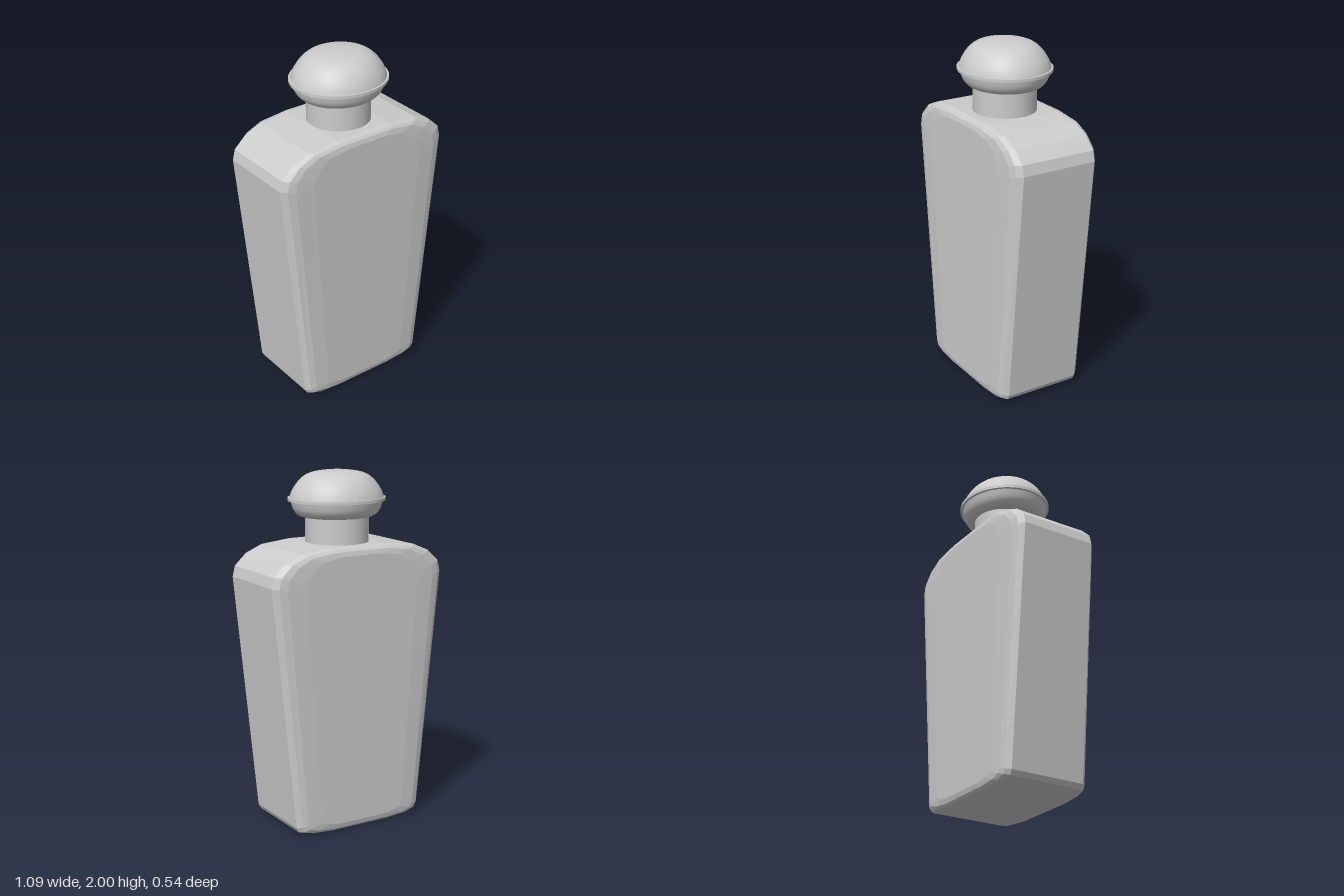
import * as THREE from 'three';

const grey = new THREE.MeshStandardMaterial({ color: 0xcccccc });
grey.name = 'grey';

// Tapered flask body: one outline, drawn in towards the front and back faces
function bodyGeometry() {
  const half = [
    [0.2, 0], [0.33, 0.01], [0.39, 0.028], [0.405, 0.055],
    [0.545, 1.42], [0.53, 1.48], [0.46, 1.545], [0.36, 1.587], [0.18, 1.605],
  ];
  const outline = [...half, ...half.map(([x, y]) => [-x, y]).reverse()];
  // z, width scale, height scale
  const front = [[0.268, 0.66, 0.945], [0.261, 0.86, 0.976], [0.249, 0.94, 0.992], [0.222, 1, 1]];
  const steps = [...front, ...front.map(([z, w, h]) => [-z, w, h]).reverse()];
  const mid = 0.8025;
  const rings = steps.map(([z, w, h]) => outline.map(([x, y]) => [x * w, mid + (y - mid) * h, z]));
  const n = outline.length;
  const pos = [];
  const tri = (a, b, c) => pos.push(...a, ...b, ...c);
  for (let i = 0; i < rings.length - 1; i++) {
    for (let j = 0; j < n; j++) {
      const k = (j + 1) % n;
      const a = rings[i][j], b = rings[i][k], c = rings[i + 1][j], d = rings[i + 1][k];
      tri(a, c, d);
      tri(a, d, b);
    }
  }
  // flat front and back faces
  const first = rings[0], last = rings[rings.length - 1];
  for (let j = 1; j < n - 1; j++) {
    tri(first[0], first[j], first[j + 1]);
    tri(last[0], last[j + 1], last[j]);
  }
  const geo = new THREE.BufferGeometry();
  geo.setAttribute('position', new THREE.Float32BufferAttribute(pos, 3));
  geo.computeVertexNormals(); // unshared corners give flat facets
  return geo;
}

function lathe(points) {
  return new THREE.LatheGeometry(points.map(([r, y]) => new THREE.Vector2(r, y)), 48);
}

function curve(points) {
  const spline = new THREE.SplineCurve(points.map(([r, y]) => new THREE.Vector2(r, y)));
  return spline.getPoints(16).map((p) => [Math.max(p.x, 0), p.y]);
}

function addPart(parent, name, geometry) {
  const mesh = new THREE.Mesh(geometry, grey);
  mesh.name = name;
  parent.add(mesh);
  return mesh;
}

export function createModel() {
  const bottle = new THREE.Group();
  bottle.name = 'bottle';
  addPart(bottle, 'body', bodyGeometry());

  const neck = addPart(bottle, 'neck', new THREE.CylinderGeometry(0.177, 0.177, 0.2, 48));
  neck.position.set(0.003, 1.67, 0);

  // Rounded stopper, slightly wider than deep
  const stopper = new THREE.Group();
  stopper.name = 'stopper';
  stopper.position.x = 0.005;
  stopper.scale.z = 0.93;
  addPart(stopper, 'stopperUnderside', lathe([[0, 1.742], ...curve([[0.17, 1.742], [0.215, 1.752], [0.246, 1.785], [0.262, 1.835]])]));
  addPart(stopper, 'stopperRimBottom', lathe([[0.25, 1.833], [0.277, 1.833]]));
  addPart(stopper, 'stopperRim', lathe([[0.277, 1.833], [0.277, 1.85]]));
  addPart(stopper, 'stopperRimTop', lathe([[0.277, 1.85], [0.25, 1.85]]));
  addPart(stopper, 'stopperDome', lathe(curve([[0.266, 1.85], [0.25, 1.892], [0.212, 1.944], [0.16, 1.98], [0.08, 1.996], [0, 2]])));
  bottle.add(stopper);

  return bottle;
}
